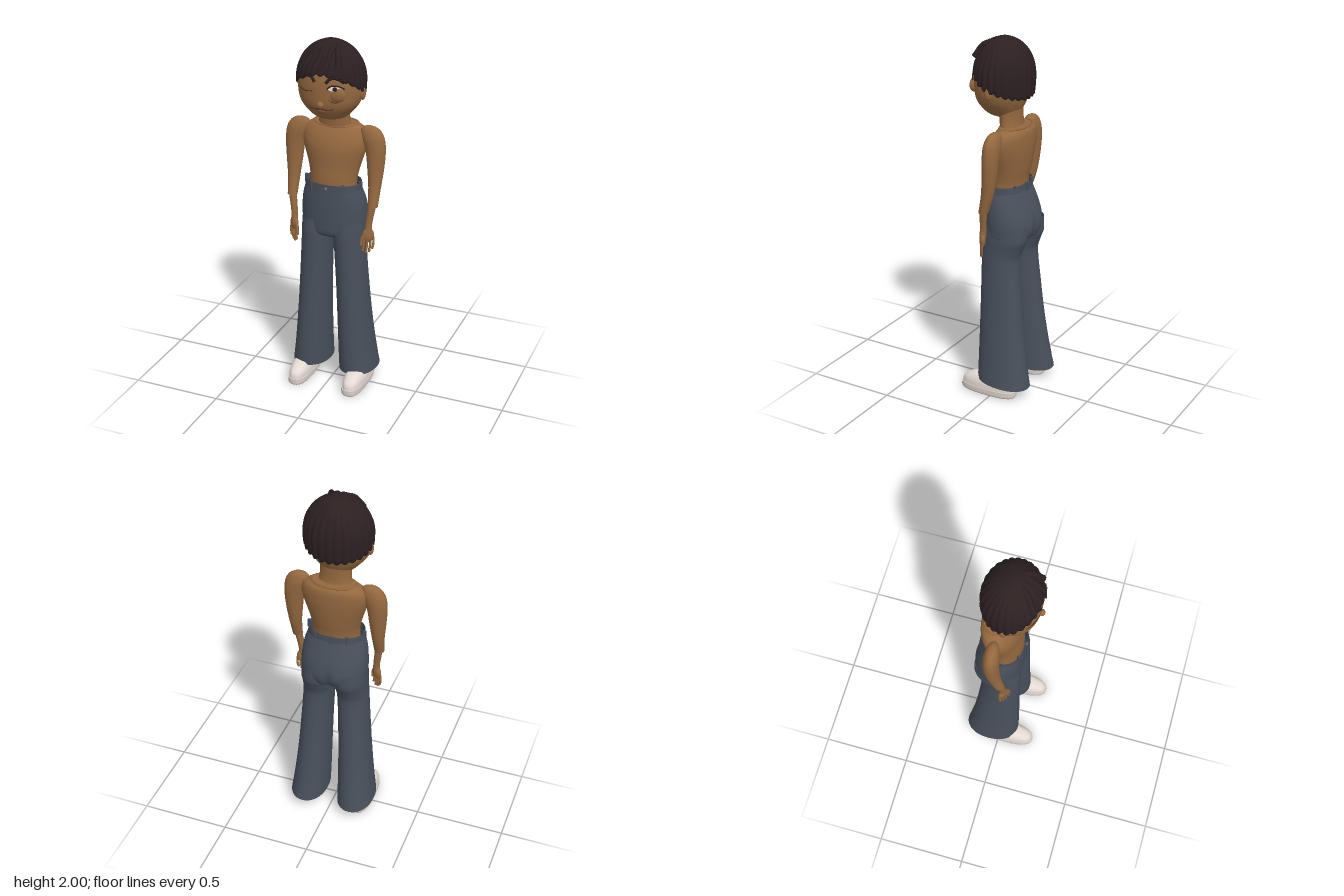
import * as THREE from 'three';

const mat = (name, color) => {
  const m = new THREE.MeshStandardMaterial({ color, side: THREE.DoubleSide });
  m.name = name;
  return m;
};

// Smooth surface through elliptical rings, rows ascending: [y, xMin, xMax, zBack, zFront]
function loft(rows, { seg = 40, sub = 5, pow = 2, caps = true } = {}) {
  const slope = (i, k) => {
    const a = rows[Math.max(i - 1, 0)], b = rows[Math.min(i + 1, rows.length - 1)];
    return (b[k] - a[k]) / (b[0] - a[0]);
  };
  const rings = [];
  for (let i = 0; i < rows.length - 1; i++) {
    const a = rows[i], b = rows[i + 1], h = b[0] - a[0];
    for (let s = i ? 1 : 0; s <= sub; s++) {
      const t = s / sub, t2 = t * t, t3 = t2 * t;
      rings.push(a.map((v, k) => k === 0 ? v + h * t
        : (2 * t3 - 3 * t2 + 1) * v + (t3 - 2 * t2 + t) * h * slope(i, k)
          + (3 * t2 - 2 * t3) * b[k] + (t3 - t2) * h * slope(i + 1, k)));
    }
  }
  const pos = [], idx = [];
  const ring = ([y, x0, x1, z0, z1]) => {
    for (let j = 0; j < seg; j++) {
      const a = j / seg * Math.PI * 2, c = Math.cos(a), s = Math.sin(a);
      pos.push((x0 + x1) / 2 + (x1 - x0) / 2 * Math.sign(c) * Math.abs(c) ** (2 / pow), y,
        (z0 + z1) / 2 + (z1 - z0) / 2 * Math.sign(s) * Math.abs(s) ** (2 / pow));
    }
  };
  rings.forEach(ring);
  for (let i = 0; i < rings.length - 1; i++) for (let j = 0; j < seg; j++) {
    const a = i * seg + j, b = i * seg + (j + 1) % seg;
    idx.push(a, a + seg, b, b, a + seg, b + seg);
  }
  if (caps) [rings[0], rings[rings.length - 1]].forEach((r, top) => {
    const base = pos.length / 3;
    ring(r);
    pos.push((r[1] + r[2]) / 2, r[0], (r[3] + r[4]) / 2);
    for (let j = 0; j < seg; j++) {
      const a = base + j, b = base + (j + 1) % seg;
      idx.push(base + seg, top ? b : a, top ? a : b);
    }
  });
  return build(pos, idx);
}

function build(pos, idx) {
  const g = new THREE.BufferGeometry();
  g.setAttribute('position', new THREE.Float32BufferAttribute(pos, 3));
  g.setIndex(idx);
  g.computeVertexNormals();
  return g;
}

// Rows symmetric about x = 0: [y, halfWidth, zBack, zFront]
const sym = rows => rows.map(([y, w, b, f]) => [y, -w, w, b, f]);

// Bowl-cut hair: a scalloped dome whose hairline drops from fringe to nape
function hairGeometry() {
  const N = 224, M = 26, pos = [], idx = [];
  for (let i = 0; i <= M + 1; i++) for (let j = 0; j < N; j++) {
    const th = j / N * Math.PI * 2, front = Math.sin(th), v = Math.min(i / M, 1);
    const f = Math.max(front, 0);
    const lobe = Math.abs(Math.sin(13 * th + 3 * f * (1 - v)));
    const line = 1.745 + (front > 0 ? 0.105 * front ** 1.3 : 0.055 * front) - 0.012 * lobe;
    const phi = v * Math.acos((line - 1.79) / 0.21);
    let r = Math.sin(phi < Math.PI / 2 ? phi : Math.PI / 2 + (phi - Math.PI / 2) * 0.6);
    r *= 1 - 0.04 * (1 - lobe) * Math.min(1, v * 2);
    if (i > M) r *= 0.9;
    pos.push(0.188 * r * Math.cos(th), 1.79 + 0.205 * Math.cos(phi), 0.028 + 0.16 * r * front);
  }
  for (let i = 0; i <= M; i++) for (let j = 0; j < N; j++) {
    const a = i * N + j, b = i * N + (j + 1) % N;
    idx.push(a, b, a + N, b, b + N, a + N);
  }
  return build(pos, idx);
}

export function createModel() {
  const skin = mat('skin', 0x94683f), hair = mat('hair', 0x2c2021), denim = mat('trousers', 0x48505b);
  const cream = mat('shoe', 0xe4dad3), sole = mat('sole', 0xd8ccc5), white = mat('eyeWhite', 0xe8e2da);
  const lip = mat('lip', 0x7a4a38), brass = mat('button', 0xa08058);
  const model = new THREE.Group();
  const add = (name, geo, material, parent = model) => {
    const m = new THREE.Mesh(geo, material);
    m.name = name;
    parent.add(m);
    return m;
  };
  const ball = (name, material, [x, y, z], [a, b, c], parent) => {
    const m = add(name, new THREE.SphereGeometry(1, 24, 16), material, parent);
    m.position.set(x, y, z);
    m.scale.set(a, b, c);
    return m;
  };
  const tube = (name, material, pts, r, parent) => add(name, new THREE.TubeGeometry(
    new THREE.CatmullRomCurve3(pts.map(p => new THREE.Vector3(...p))), 16, r, 8), material, parent);

  // Head, neck and torso
  const head = add('head', loft(sym([[1.575, 0.05, -0.02, 0.075], [1.59, 0.085, -0.05, 0.11],
    [1.62, 0.118, -0.07, 0.143], [1.67, 0.157, -0.09, 0.17], [1.73, 0.174, -0.105, 0.178], [1.8, 0.172, -0.11, 0.178],
    [1.87, 0.15, -0.095, 0.163], [1.93, 0.1, -0.06, 0.12], [1.96, 0.05, -0.02, 0.07]])), skin);
  add('neck', loft(sym([[1.49, 0.1, -0.09, 0.03], [1.53, 0.09, -0.075, 0.035], [1.57, 0.085, -0.07, 0.04], [1.63, 0.085, -0.07, 0.05]])), skin);
  add('torso', loft(sym([[1.12, 0.135, -0.095, 0.09], [1.22, 0.13, -0.098, 0.09], [1.3, 0.145, -0.112, 0.084],
    [1.4, 0.175, -0.125, 0.08], [1.46, 0.182, -0.127, 0.065], [1.505, 0.165, -0.123, 0.043], [1.53, 0.125, -0.108, 0.025]])), skin);
  const collar = [];
  for (let i = 0; i < 24; i++) {
    const a = i / 24 * Math.PI * 2, s = Math.sin(a);
    collar.push(new THREE.Vector3(0.122 * Math.cos(a), 1.53 - 0.01 * Math.max(s, 0), -0.04 + 0.072 * s));
  }
  add('neckline', new THREE.TubeGeometry(new THREE.CatmullRomCurve3(collar, true), 64, 0.005, 6, true), skin);

  // Hair with raised crown and swept fringe
  add('hair', hairGeometry(), hair);
  ball('crown', hair, [0, 1.975, 0.03], [0.062, 0.022, 0.055]);
  for (const [x0, x1, z1, y1] of [[0.0, -0.09, 0.155, 1.88], [0.02, -0.03, 0.175, 1.87], [0.04, 0.03, 0.175, 1.88], [0.05, 0.09, 0.155, 1.89]])
    tube('fringeLock', hair, [[x0, 1.975, 0.06], [x0 * 0.5 + x1 * 0.5, 1.955, 0.11], [x1, y1, z1]], 0.016);

  // Facial features laid onto the head surface
  model.updateMatrixWorld(true);
  const ray = new THREE.Raycaster();
  const onFace = (x, y, out = 0) => {
    ray.set(new THREE.Vector3(x, y, 1), new THREE.Vector3(0, 0, -1));
    return [x, y, ray.intersectObject(head)[0].point.z + out];
  };
  const line = (name, material, pts, r) => tube(name, material, pts.map(([x, y]) => onFace(x, y, 0.001)), r);
  const patch = (name, material, x, y, rx, ry, out) => {
    const g = new THREE.RingGeometry(0, 1, 24, 4), p = g.attributes.position;
    for (let i = 0; i < p.count; i++) p.setXYZ(i, ...onFace(x + p.getX(i) * rx, y + p.getY(i) * ry, out));
    g.computeVertexNormals();
    return add(name, g, material);
  };
  for (const s of [1, -1]) {
    const brow = [[0.03, 1.803], [0.05, 1.826], [0.08, 1.83], [0.115, 1.806]].map(([x, y]) => [s * x, y]);
    line('eyebrow', hair, brow, 0.008);
    ball('ear', skin, [s * 0.172, 1.725, 0.025], [0.016, 0.036, 0.022]);
  }
  // Left eye open, right eye closed
  ball('leftEyelid', skin, onFace(0.082, 1.745, -0.004), [0.046, 0.042, 0.018]);
  patch('leftEyeWhite', white, 0.08, 1.778, 0.034, 0.013, 0.011);
  patch('leftIris', hair, 0.08, 1.778, 0.011, 0.012, 0.014);
  tube('leftLash', hair, [[0.04, 1.777], [0.06, 1.792], [0.09, 1.793], [0.122, 1.775]].map(([x, y]) => onFace(x, y, 0.01)), 0.004);
  line('leftEyeCrease', hair, [[0.045, 1.714], [0.075, 1.7], [0.11, 1.713]], 0.0015);
  line('rightLash', hair, [[-0.13, 1.752], [-0.09, 1.747], [-0.045, 1.754]], 0.002);
  ball('nose', skin, onFace(0, 1.685, 0.004), [0.018, 0.018, 0.016]);
  line('mouth', hair, [[-0.065, 1.66], [-0.03, 1.656], [0, 1.66], [0.03, 1.656], [0.065, 1.662]], 0.0018);
  ball('lips', lip, onFace(0, 1.645, 0), [0.022, 0.01, 0.007]);

  // Trousers: hips, waistband, belt loops
  const hips = loft(sym([[0.9, 0.13, -0.125, 0.07], [0.92, 0.174, -0.15, 0.097], [0.97, 0.184, -0.167, 0.104], [1.04, 0.184, -0.158, 0.106],
    [1.12, 0.174, -0.13, 0.106], [1.185, 0.154, -0.105, 0.104]]), { pow: 2.2, seg: 80, caps: false });
  const hp = hips.attributes.position;
  for (let i = 0; i < hp.count; i++) {
    const x = hp.getX(i), y = hp.getY(i), z = hp.getZ(i);
    if (z < 0) hp.setZ(i, z * (1 - 0.09 * Math.exp(-((x / 0.022) ** 2) - ((y - 0.95) / 0.07) ** 2)));
  }
  hips.computeVertexNormals();
  add('hips', hips, denim);
  add('waistband', loft(sym([[1.178, 0.157, -0.108, 0.106], [1.217, 0.155, -0.106, 0.106]]), { pow: 2.2, caps: false }), denim);
  for (const deg of [0, 55, 125, 180, 235, 270, 305]) {
    const a = deg * Math.PI / 180;
    const b = add('beltLoop', new THREE.BoxGeometry(0.012, 0.046, 0.016), denim);
    b.position.set(0.157 * Math.cos(a), 1.198, 0.108 * Math.sin(a));
    b.rotation.y = Math.PI / 2 - a;
  }
  const button = add('button', new THREE.CylinderGeometry(0.007, 0.007, 0.006, 16), brass);
  button.rotation.x = Math.PI / 2;
  button.position.set(0, 1.197, 0.108);

  // Limbs, drawn for the left side and mirrored in position
  for (const s of [1, -1]) {
    const side = s > 0 ? 'left' : 'right';
    const limb = (name, material, rows, opt) => add(side + name, loft(rows.map(([y, a, b, zb, zf]) =>
      s > 0 ? [y, a, b, zb, zf] : [y, -b, -a, zb, zf]), opt), material);

    // Flared trouser leg, hem lower at the back
    const leg = limb('TrouserLeg', denim, [[0.08, 0.036, 0.246, -0.202, 0.106], [0.2, 0.034, 0.23, -0.178, 0.106], [0.4, 0.03, 0.21, -0.15, 0.104],
      [0.6, 0.024, 0.195, -0.13, 0.102], [0.8, 0.014, 0.183, -0.116, 0.101], [0.87, 0.006, 0.182, -0.137, 0.102],
      [0.92, 0, 0.183, -0.156, 0.102], [1.0, 0.005, 0.178, -0.155, 0.096]], { pow: 2.15, caps: false });
    const lp = leg.geometry.attributes.position;
    for (let i = 0; i < lp.count; i++) if (lp.getY(i) < 0.15) lp.setY(i, lp.getY(i) + lp.getZ(i) * 0.07);
    leg.geometry.computeVertexNormals();

    // Shoe
    limb('Sole', sole, [[0, 0.106, 0.22, -0.13, 0.198], [0.008, 0.101, 0.225, -0.134, 0.204], [0.036, 0.101, 0.225, -0.134, 0.204]], { pow: 2.6 });
    limb('Shoe', cream, [[0.036, 0.105, 0.222, -0.13, 0.2], [0.065, 0.106, 0.22, -0.13, 0.192], [0.088, 0.113, 0.213, -0.125, 0.165],
      [0.105, 0.122, 0.203, -0.115, 0.12], [0.114, 0.14, 0.185, -0.1, 0.06]], { pow: 2.4 });

    // Sleeved arm and forearm
    limb('Arm', skin, [[1.098, 0.207, 0.261, -0.006, 0.047], [1.2, 0.2, 0.268, -0.038, 0.03], [1.3, 0.188, 0.279, -0.055, 0.022],
      [1.4, 0.174, 0.285, -0.064, 0.02], [1.47, 0.15, 0.278, -0.064, 0.018], [1.51, 0.145, 0.257, -0.055, 0.008],
      [1.528, 0.16, 0.232, -0.044, -0.003], [1.535, 0.18, 0.21, -0.03, -0.015]], { seg: 28 });
    limb('Forearm', skin, [[0.95, 0.197, 0.236, 0.018, 0.055], [1.0, 0.199, 0.236, 0.016, 0.05], [1.12, 0.212, 0.256, 0, 0.042]], { seg: 24 });

    // Hand with four fingers and a thumb
    const hand = new THREE.Group();
    hand.name = side + 'Hand';
    model.add(hand);
    const palm = ball('palm', skin, [s * 0.217, 0.935, 0.038], [0.032, 0.042, 0.017], hand);
    palm.rotation.y = s * 0.6;
    for (let i = 0; i < 4; i++) {
      const x = 0.241 - i * 0.0145, z = 0.024 + i * 0.01, end = [0.855, 0.838, 0.832, 0.845][i];
      tube('finger', skin, [[s * x, 0.925, z], [s * (x + 0.002), 0.885, z + 0.003], [s * (x - 0.003), end + 0.006, z + 0.006]], 0.0068, hand);
      ball('fingertip', skin, [s * (x - 0.003), end + 0.006, z + 0.006], [0.0068, 0.008, 0.0068], hand);
    }
    tube('thumb', skin, [[s * 0.205, 0.95, 0.048], [s * 0.189, 0.92, 0.06], [s * 0.186, 0.885, 0.064]], 0.0075, hand);
    ball('thumbTip', skin, [s * 0.186, 0.885, 0.064], [0.0075, 0.01, 0.0075], hand);
  }
  return model;
}
